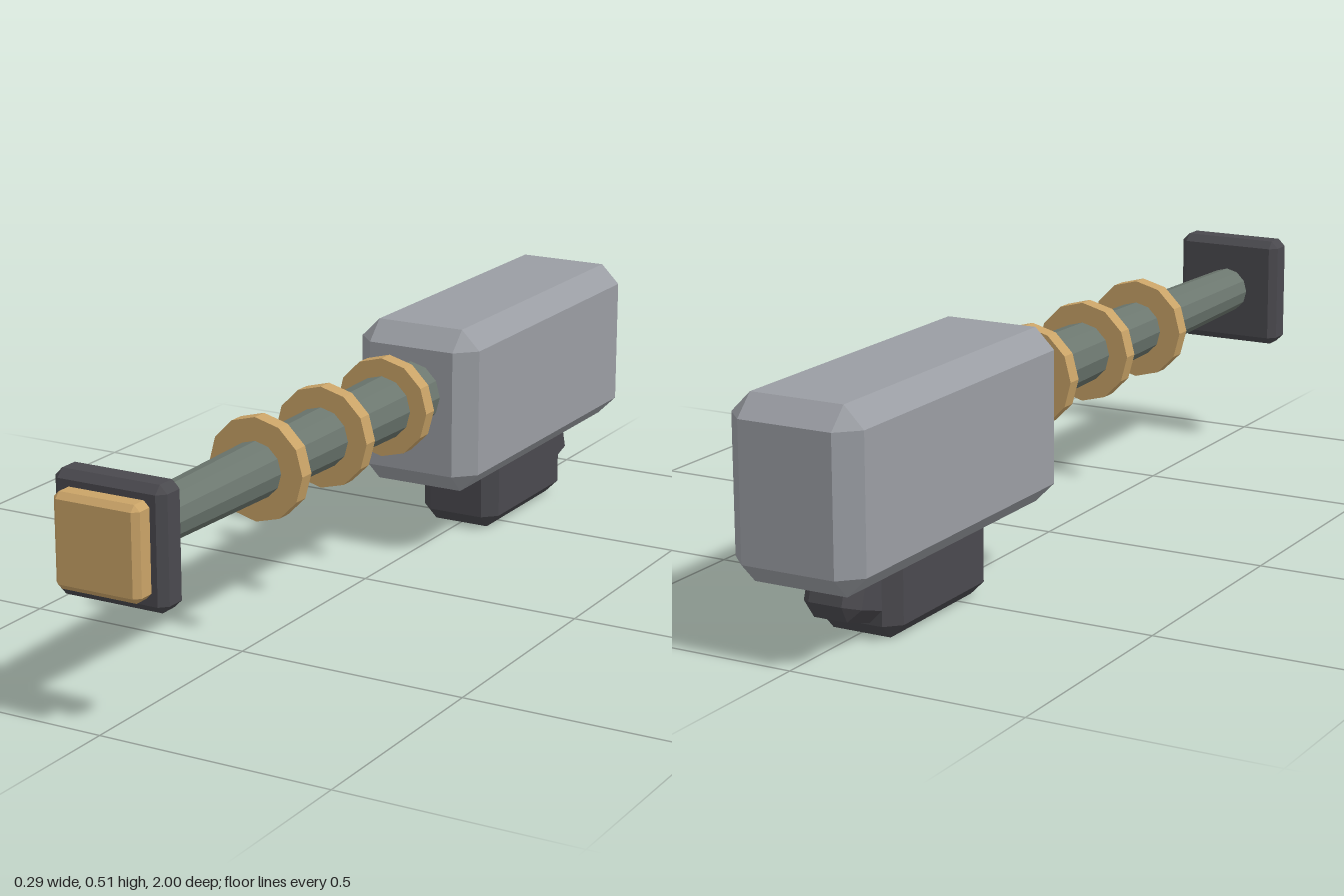
import * as THREE from 'three';
import { ConvexGeometry } from 'three/addons/geometries/ConvexGeometry.js';

// Box of size w, h, d with every edge cut back by c
function chamferBox(w, h, d, c) {
  const half = [w / 2, h / 2, d / 2];
  const points = [];
  for (let axis = 0; axis < 3; axis++)
    for (const sx of [-1, 1])
      for (const sy of [-1, 1])
        for (const sz of [-1, 1]) {
          const p = [sx, sy, sz].map((s, i) => s * (half[i] - (i === axis ? 0 : c)));
          points.push(new THREE.Vector3(...p));
        }
  return new ConvexGeometry(points);
}

export function createModel() {
  const group = new THREE.Group();
  const material = (name, color) => {
    const m = new THREE.MeshStandardMaterial({ color, flatShading: true });
    m.name = name;
    return m;
  };
  const grey = material('light grey', 0x9a9da3);
  const dark = material('charcoal', 0x4a494e);
  const steel = material('grey green', 0x6c776f);
  const gold = material('brass', 0xc9a367);

  const add = (name, geometry, mat, x, y, z) => {
    const mesh = new THREE.Mesh(geometry, mat);
    mesh.name = name;
    mesh.position.set(x, y, z);
    group.add(mesh);
    return mesh;
  };
  const axisY = 0.367;

  // Housing
  add('body', chamferBox(0.29, 0.366, 0.8, 0.043), grey, 0, 0.33, -0.6);

  // Block under the housing, with a small tilted block behind it
  add('grip', chamferBox(0.19, 0.24, 0.365, 0.03), dark, 0, 0.12, -0.598);
  add('rearCatch', chamferBox(0.13, 0.2, 0.14, 0.028), dark, 0, 0.141, -0.79).rotation.x = 0.3;

  // Tapered shaft, thin end to the front
  const shaft = new THREE.CylinderGeometry(0.051, 0.073, 1.14, 12).rotateX(Math.PI / 2);
  add('shaft', shaft, steel, 0, axisY, 0.33);

  // Collars along the shaft
  const collar = new THREE.CylinderGeometry(0.109, 0.109, 0.035, 12).rotateX(Math.PI / 2);
  [-0.088, 0.168, 0.424].forEach((z, i) => add(`collar${i + 1}`, collar, gold, 0, axisY, z));

  // Square end plate and front pad
  add('endPlate', chamferBox(0.248, 0.248, 0.072, 0.016), dark, 0, axisY, 0.921);
  add('frontPad', chamferBox(0.19, 0.19, 0.06, 0.012), gold, 0, axisY, 0.97);

  return group;
}
